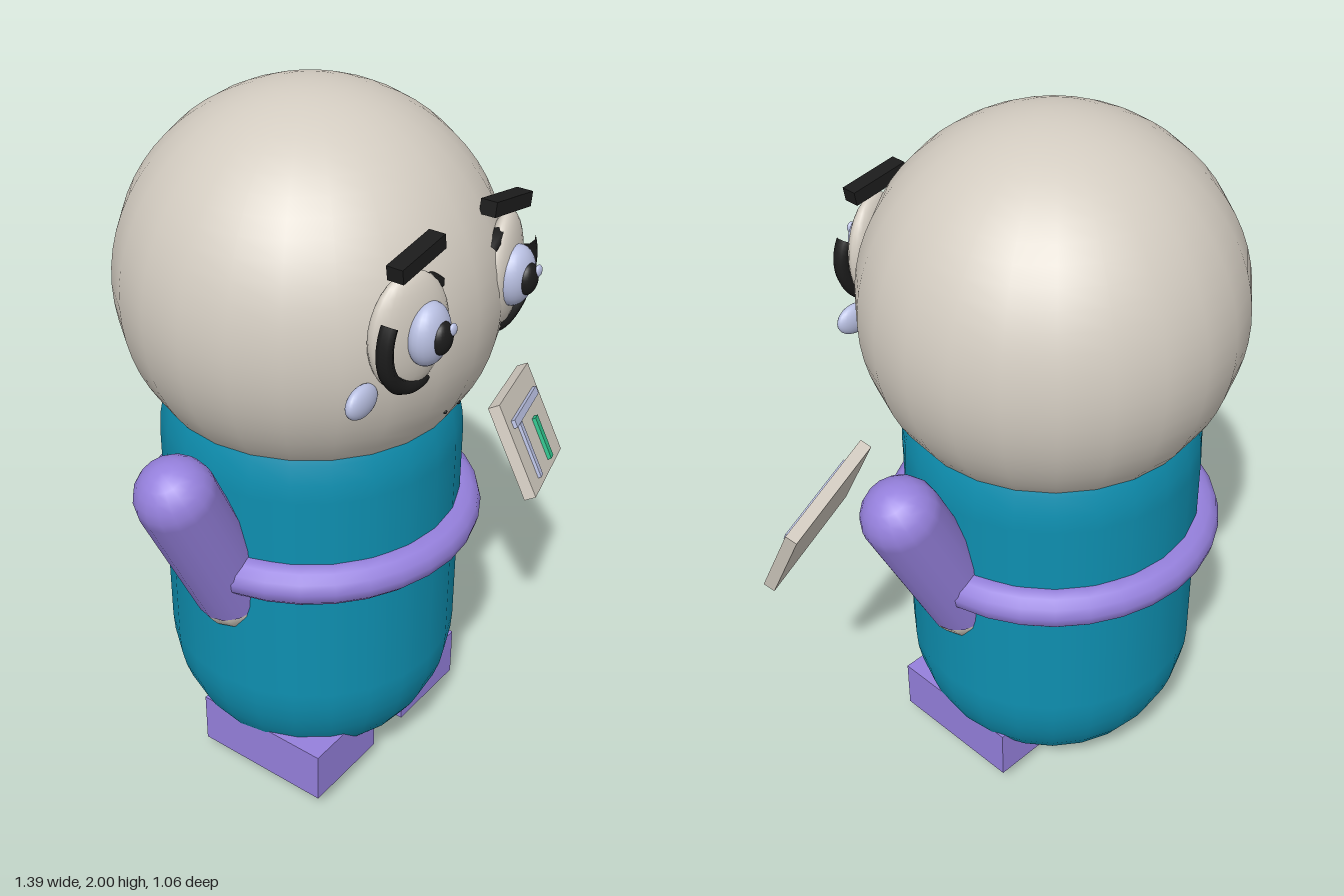
import * as THREE from 'three';

const material = (name, color) => {
  const m = new THREE.MeshStandardMaterial({ color });
  m.name = name;
  return m;
};

export function createModel() {
  const model = new THREE.Group();
  model.name = 'figure';
  const skin = material('warm grey', 0xd3ccc1);
  const teal = material('teal', 0x0e8fb0);
  const purple = material('purple', 0x9580dc);
  const dark = material('black', 0x1c1c1c);
  const lavender = material('pale lavender', 0xb9c0e2);
  const green = material('green', 0x2fbf8a);

  const CX = -0.042, CZ = -0.02; // body axis

  const add = (parent, name, geometry, mat, x, y, z) => {
    const mesh = new THREE.Mesh(geometry, mat);
    mesh.name = name;
    mesh.position.set(x, y, z);
    parent.add(mesh);
    return mesh;
  };
  const ellipsoid = (rx, ry, rz) => new THREE.SphereGeometry(1, 24, 16).scale(rx, ry, rz);

  // Head, body and belt
  add(model, 'head', new THREE.SphereGeometry(0.509, 24, 32), skin, CX, 1.491, CZ);
  add(model, 'body', new THREE.CapsuleGeometry(0.413, 0.637, 12, 24), teal, CX, 0.7315, CZ);
  add(model, 'belt', new THREE.TorusGeometry(0.418, 0.056, 12, 32).rotateX(Math.PI / 2), purple, CX, 0.808, CZ);

  for (const s of [-1, 1]) {
    const side = s < 0 ? 'right' : 'left';

    // Arm hanging down and inward from a round shoulder, with a hand at its end
    const arm = new THREE.Group();
    arm.name = side + 'Arm';
    arm.position.set(CX + s * 0.548, 1.093, CZ);
    arm.rotation.z = -s * 0.454;
    model.add(arm);
    add(arm, 'shoulder', new THREE.SphereGeometry(0.107, 16, 12), purple, 0, 0, 0);
    add(arm, 'sleeve', new THREE.CylinderGeometry(0.107, 0.107, 0.445, 16), purple, 0, -0.2225, 0);
    add(arm, 'hand', new THREE.SphereGeometry(0.107, 12, 8), skin, 0, -0.452, 0);

    // Foot
    add(model, side + 'Foot', new THREE.BoxGeometry(0.272, 0.156, 0.415), purple, CX + s * 0.207, 0.133, 0.053);

    // Eye: tilted socket, eyeball, pupil and glint
    const eye = new THREE.Group();
    eye.name = side + 'Eye';
    eye.position.set(CX + s * 0.192, 1.555, 0);
    model.add(eye);
    const socket = add(eye, 'socket', ellipsoid(0.115, 0.152, 0.043), skin, s * 0.018, 0, 0.425);
    socket.rotation.y = s * 0.3;
    add(eye, 'eyeball', ellipsoid(0.067, 0.08, 0.045), lavender, 0, 0, 0.47);
    add(eye, 'pupil', ellipsoid(0.035, 0.042, 0.023), dark, 0, 0, 0.506);
    add(eye, 'glint', ellipsoid(0.014, 0.016, 0.008), lavender, 0.017, 0.02, 0.524);

    // Dark rim: long outer arc and a short piece at the inner top
    for (const [from, to] of [[150, 285], [52, 76]]) {
      const a = THREE.MathUtils.degToRad(s < 0 ? from : 180 - to);
      const arc = THREE.MathUtils.degToRad(to - from);
      add(eye, 'eyeRim', new THREE.TorusGeometry(0.127, 0.021, 8, 24, arc).rotateZ(a), dark, 0, -0.012, 0.436);
    }

    // Brow and cheek
    const brow = add(model, side + 'Brow', new THREE.BoxGeometry(0.172, 0.038, 0.045), dark, CX + s * 0.193, 1.737, 0.43);
    brow.rotation.z = -s * 0.16;
    add(model, side + 'Cheek', ellipsoid(0.057, 0.042, 0.023), lavender, CX + s * 0.332, 1.408, 0.383);

    // Corner of the tiny mouth
    add(model, 'mouthCorner', new THREE.SphereGeometry(0.006, 8, 6), dark, CX + s * 0.03, 1.25, 0.424);
  }

  // Tilted board with raised bars
  const board = new THREE.Group();
  board.name = 'board';
  board.position.set(0.505, 0.882, 0.348);
  board.rotation.set(-0.5, 0.35, 0);
  model.add(board);
  add(board, 'panel', new THREE.BoxGeometry(0.38, 0.289, 0.035), skin, 0, 0, 0);
  add(board, 'crossBar', new THREE.BoxGeometry(0.295, 0.024, 0.018), lavender, 0, 0.067, 0.02);
  add(board, 'uprightBar', new THREE.BoxGeometry(0.025, 0.17, 0.014), lavender, -0.096, -0.033, 0.02);
  add(board, 'greenBar', new THREE.BoxGeometry(0.03, 0.133, 0.018), green, 0.048, -0.051, 0.02);

  return model;
}
